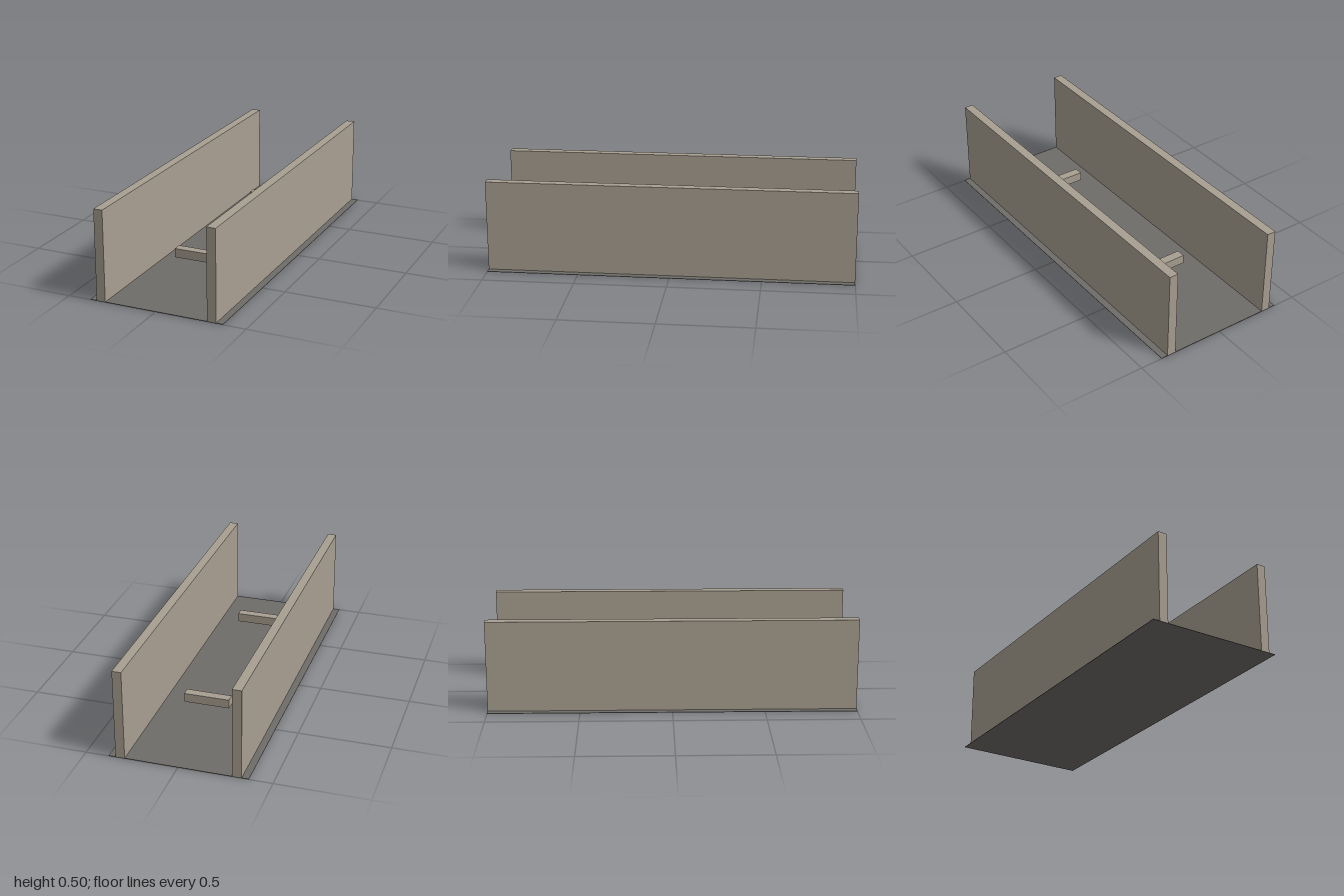
import * as THREE from 'three';

export function createModel() {
  const group = new THREE.Group();
  const stone = new THREE.MeshStandardMaterial({ color: 0xa89f91 });
  stone.name = 'warm stone';
  const paving = new THREE.MeshStandardMaterial({ color: 0x6f6c69 });
  paving.name = 'dark paving';

  // Adds a box that rests on the height "bottom"
  function addBox(name, material, [w, h, d], x, bottom, z) {
    const mesh = new THREE.Mesh(new THREE.BoxGeometry(w, h, d), material);
    mesh.name = name;
    mesh.position.set(x, bottom + h / 2, z);
    group.add(mesh);
  }

  const floorThickness = 0.0025;
  addBox('floor', paving, [0.75, floorThickness, 2], 0, 0, 0);

  // Long side walls
  for (const side of [-1, 1]) {
    addBox(side > 0 ? 'leftWall' : 'rightWall', stone, [0.05, 0.5, 2], side * 0.3125, floorThickness, 0);
  }

  // Short raised bars between the walls
  for (const end of [-1, 1]) {
    addBox(end > 0 ? 'frontBar' : 'backBar', stone, [0.25, 0.05, 0.05], 0, 0.101, end * 0.5);
  }

  return group;
}
